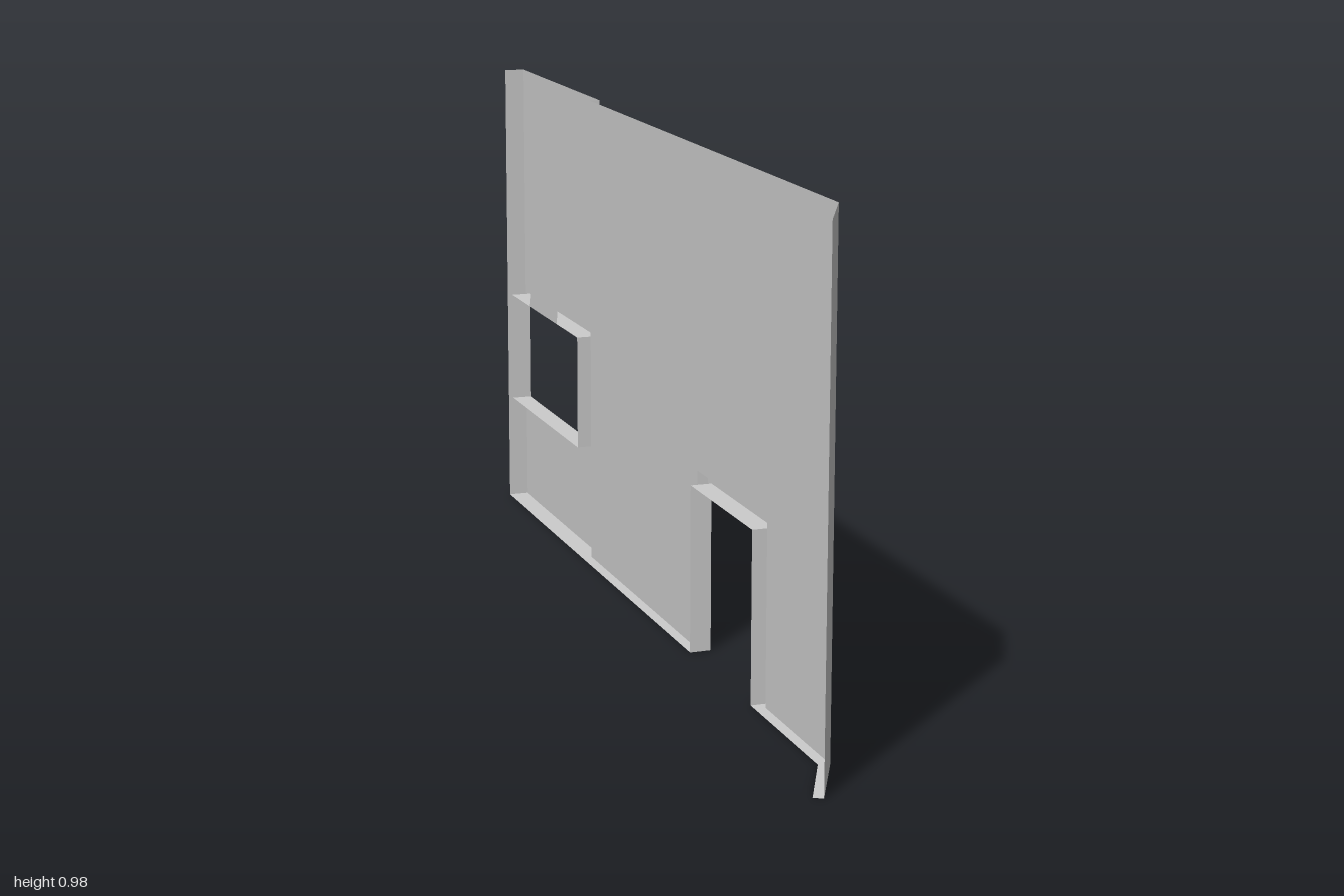
import * as THREE from 'three';

const H = 0.98;                                  // wall height
const BACK = 0.012, WALL = 0.033, FACE = 0.054;  // depths of back edge, wall skin, raised skin

export function createModel() {
  const model = new THREE.Group();
  const material = new THREE.MeshStandardMaterial({ color: 0xcccccc, side: THREE.DoubleSide, flatShading: true });

  const add = (name, geometry) => {
    const mesh = new THREE.Mesh(geometry, material);
    mesh.name = name;
    model.add(mesh);
  };

  // flat sheet facing +x, outlined by [z, y] points
  const sheet = (name, x, outline, hole) => {
    const toPoints = list => list.map(([z, y]) => new THREE.Vector2(-z, y));
    const shape = new THREE.Shape(toPoints(outline));
    if (hole) shape.holes.push(new THREE.Path(toPoints(hole)));
    add(name, new THREE.ShapeGeometry(shape).rotateY(Math.PI / 2).translate(x, 0, 0));
  };

  // quads joining two rows of 3D points
  const loft = (name, rowA, rowB) => {
    const pos = [];
    for (let i = 0; i < rowA.length - 1; i++) {
      const [a, b, c, d] = [rowA[i], rowA[i + 1], rowB[i + 1], rowB[i]];
      pos.push(...a, ...b, ...c, ...a, ...c, ...d);
    }
    const g = new THREE.BufferGeometry();
    g.setAttribute('position', new THREE.Float32BufferAttribute(pos, 3));
    g.computeVertexNormals();
    add(name, g);
  };

  // strip following a [z, y] path between two depths
  const band = (name, path, x0, x1) =>
    loft(name, path.map(([z, y]) => [x0, y, z]), path.map(([z, y]) => [x1, y, z]));

  // bottom strip, outlined by [x, z] points
  const floor = (name, outline) => {
    const shape = new THREE.Shape(outline.map(([x, z]) => new THREE.Vector2(x, z)));
    add(name, new THREE.ShapeGeometry(shape).rotateX(Math.PI / 2));
  };

  const doorOuter = [[0.55, 0], [0.55, 0.355], [0.19, 0.355], [0.19, 0]];
  const doorInner = [[0.53, 0], [0.53, 0.333], [0.21, 0.333], [0.21, 0]];
  const windowHole = [[-0.487, 0.237], [-0.487, 0.476], [-0.965, 0.476], [-0.965, 0.237]];

  // main wall skin and its angled end
  sheet('wallSkin', WALL, [[0.855, 0], ...doorOuter, [-0.46, 0], [-0.46, H], [0.855, H]]);
  loft('angledEnd', [[-0.039, 0, 1], [WALL, 0, 0.855]], [[-0.039, H, 1], [WALL, H, 0.855]]);

  // raised window panel
  sheet('windowPanel', FACE, [[-0.46, 0], [-1, 0], [-1, H], [-0.46, H]], windowHole);
  band('panelStep', [[-0.46, 0], [-0.46, H]], WALL, FACE);
  band('panelEnd', [[-1, 0], [-1, H]], BACK, FACE);
  band('windowReveal', [...windowHole, windowHole[0]], BACK, FACE);
  sheet('panelBackStrip', BACK, [[-0.63, 0.476], [-0.83, 0.476], [-0.667, H], [-0.495, H]]);

  // raised door frame
  sheet('doorFrame', FACE, [...doorOuter, ...doorInner.slice().reverse()]);
  band('doorFrameEdge', doorOuter, WALL, FACE);
  band('doorReveal', doorInner, BACK, FACE);

  // bottom strips, broken by the doorway
  floor('panelBottom', [[BACK, -1], [FACE, -1], [FACE, -0.46], [BACK, -0.46]]);
  floor('wallBottom', [[BACK, -0.46], [WALL, -0.46], [WALL, 0.19], [FACE, 0.19], [FACE, 0.21], [BACK, 0.21]]);
  floor('endBottom', [[BACK, 0.53], [FACE, 0.53], [FACE, 0.55], [WALL, 0.55], [WALL, 0.855],
    [-0.039, 1], [-0.056, 0.991], [BACK, 0.85]]);

  return model;
}
